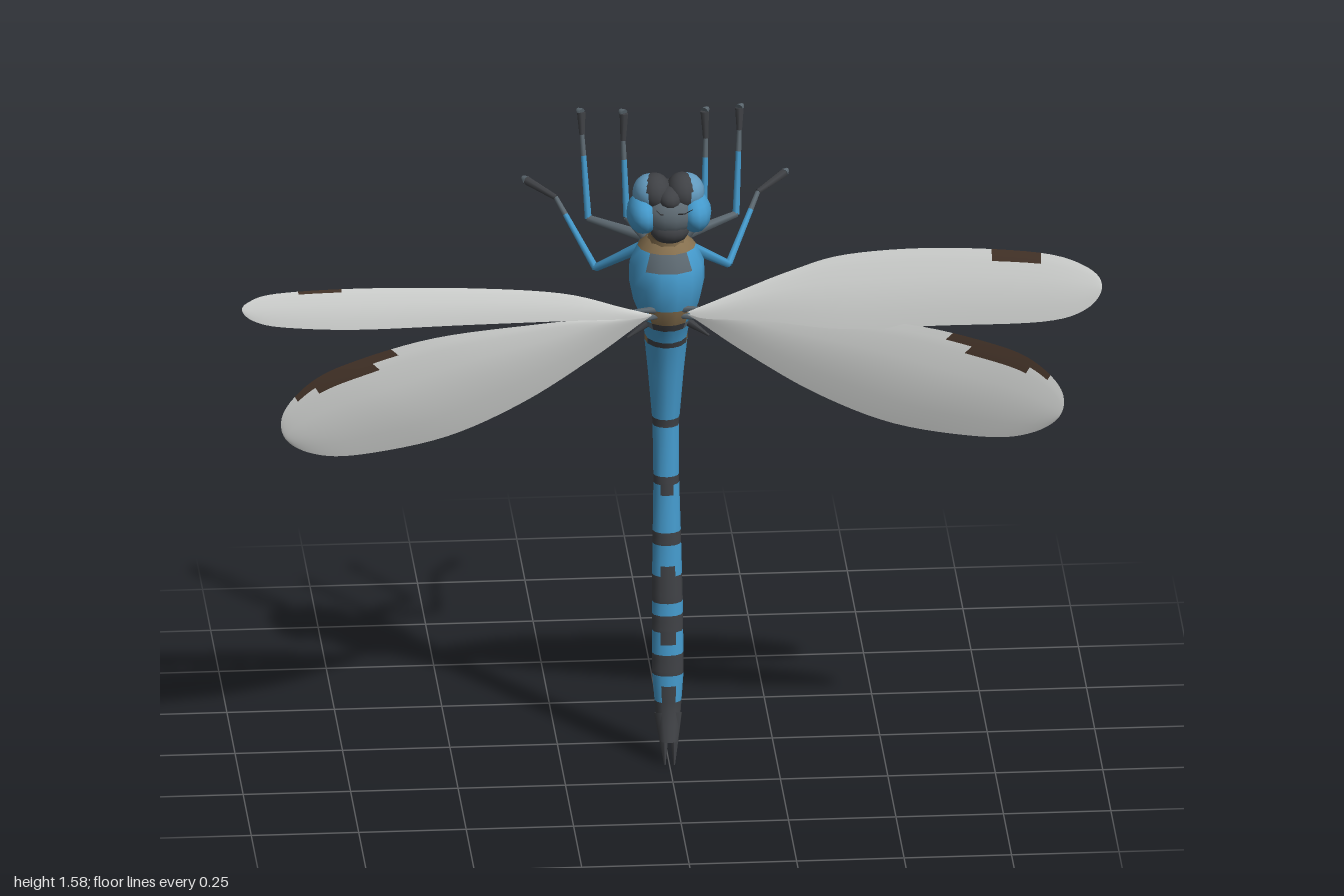
import * as THREE from 'three';

const V = (x, y, z) => new THREE.Vector3(x, y, z);
const paint = (name, color, side = THREE.FrontSide) => {
  const m = new THREE.MeshStandardMaterial({ color, side });
  m.name = name;
  return m;
};

export function createModel() {
  const root = new THREE.Group();
  root.name = 'dragonfly';
  const blue = paint('body blue', 0x4499cb);
  const dark = paint('dark grey', 0x3f4145);
  const tan = paint('tan', 0x86704f);
  const slate = paint('slate', 0x5c6870);
  const paleBlue = paint('pale blue', 0x6299bd);
  const membrane = paint('wing grey', 0xd4d6d4, THREE.DoubleSide);
  const brown = paint('wing mark brown', 0x453429, THREE.DoubleSide);

  const add = (name, geometry, material, parent = root) => {
    const mesh = new THREE.Mesh(geometry, material);
    mesh.name = name;
    parent.add(mesh);
    return mesh;
  };

  // Indexed geometry with one group per material
  function build(pos, lists) {
    const g = new THREE.BufferGeometry();
    g.setAttribute('position', new THREE.Float32BufferAttribute(pos, 3));
    g.setIndex(lists.flat());
    let start = 0;
    lists.forEach((l, i) => { g.addGroup(start, l.length, i); start += l.length; });
    g.computeVertexNormals();
    return g;
  }

  // Loft of elliptical rings [y, centre z, x radius, z radius], bottom to top;
  // pick(y, f) gives the material index of each panel, f = 1 at the front, -1 at the back.
  function loft(rings, sides, count, pick) {
    const pos = [], lists = Array.from({ length: count }, () => []);
    for (const [y, zc, rx, rz] of rings)
      for (let j = 0; j < sides; j++) {
        const a = (j / sides) * Math.PI * 2;
        pos.push(Math.cos(a) * rx, y, zc + Math.sin(a) * rz);
      }
    for (let i = 0; i < rings.length - 1; i++)
      for (let j = 0; j < sides; j++) {
        const k = (j + 1) % sides;
        const a = i * sides + j, b = i * sides + k, c = a + sides, d = b + sides;
        const y = (rings[i][0] + rings[i + 1][0]) / 2;
        lists[pick(y, Math.sin(((j + 0.5) / sides) * Math.PI * 2))].push(a, c, b, b, c, d);
      }
    return build(pos, lists);
  }

  // Tapered rod between two points
  function rod(name, a, b, ra, rb, material, parent = root) {
    const d = b.clone().sub(a);
    const mesh = add(name, new THREE.CylinderGeometry(rb, ra, d.length(), 6), material, parent);
    mesh.position.copy(a).addScaledVector(d, 0.5);
    mesh.quaternion.setFromUnitVectors(V(0, 1, 0), d.normalize());
  }

  function ball(name, c, r, material) {
    const mesh = add(name, new THREE.SphereGeometry(1, 14, 10), material);
    mesh.position.set(...c);
    mesh.scale.set(...r);
  }

  // Abdomen: interpolated rings with dark bands [low, high, least f]
  const spine = [
    [0.06, 0.13, 0.022, 0.018], [0.13, 0.1, 0.03, 0.026], [0.22, 0.092, 0.037, 0.027],
    [0.4, 0.075, 0.036, 0.027], [0.55, 0.06, 0.033, 0.026], [0.68, 0.045, 0.03, 0.026],
    [0.82, 0.03, 0.031, 0.03], [0.95, 0.03, 0.042, 0.05], [1.03, 0.034, 0.05, 0.064],
  ];
  const ringAt = y => {
    let i = 0;
    while (i < spine.length - 2 && spine[i + 1][0] < y) i++;
    const t = (y - spine[i][0]) / (spine[i + 1][0] - spine[i][0]);
    return spine[i].map((v, k) => v + (spine[i + 1][k] - v) * t);
  };
  const bands = [
    [0.06, 0.1, -2], [0.1, 0.15, -0.3], [0.15, 0.19, 0.8], [0.215, 0.265, 0.1], [0.225, 0.25, -2],
    [0.29, 0.32, 0.9], [0.32, 0.36, 0.1], [0.325, 0.345, -2], [0.39, 0.455, 0.2], [0.4, 0.44, -0.6],
    [0.41, 0.425, -2], [0.455, 0.48, 0.9], [0.53, 0.56, 0], [0.535, 0.55, -2], [0.65, 0.675, 0.9],
    [0.675, 0.695, -0.6], [0.815, 0.835, -0.4],
  ];
  const levels = [...new Set([...bands.flatMap(b => [b[0], b[1]]), ...spine.map(s => s[0])])].sort((a, b) => a - b);
  add('abdomen', loft(levels.map(ringAt), 12, 2, (y, f) =>
    bands.some(([lo, hi, least]) => y > lo && y < hi && f > least) ? 1 : 0), [blue, dark]);

  // Forked tail end
  for (const s of [-1, 1])
    rod('tailPoint', V(s * 0.014, 0.12, 0.106), V(s * 0.011, 0.005, 0.147), 0.02, 0.002, dark);

  // Thorax: banded waist, patch between the wing roots, tan collar
  add('thorax', loft([
    [1.03, 0.034, 0.05, 0.064], [1.045, 0.037, 0.05, 0.068], [1.08, 0.043, 0.055, 0.076],
    [1.1, 0.049, 0.063, 0.083], [1.14, 0.055, 0.078, 0.092], [1.19, 0.058, 0.088, 0.098],
    [1.235, 0.057, 0.087, 0.09], [1.275, 0.055, 0.068, 0.07], [1.295, 0.055, 0.045, 0.05],
  ], 14, 4, (y, f) => {
    if (y < 1.045) return f > 0.4 ? 1 : f > -0.5 ? 2 : 0;
    if (y > 1.08 && y < 1.1) return f > 0.7 ? 1 : f > -0.3 ? 3 : 0;
    if (y > 1.1 && y < 1.14) return f > 0.9 ? 2 : 0;
    if (y > 1.235 && y < 1.275) return f > 0.9 ? 3 : 0;
    return y > 1.275 ? 2 : 0;
  }), [blue, dark, tan, slate]);
  add('neck', loft([
    [1.27, 0.055, 0.05, 0.055], [1.31, 0.062, 0.042, 0.05], [1.34, 0.075, 0.04, 0.045],
  ], 10, 2, y => (y > 1.31 ? 1 : 0)), [tan, dark]);

  // Head, eyes and feelers
  ball('headBack', [0, 1.385, 0.066], [0.085, 0.055, 0.048], dark);
  ball('face', [0, 1.385, 0.135], [0.062, 0.052, 0.055], slate);
  ball('mouth', [0, 1.348, 0.15], [0.045, 0.03, 0.036], dark);
  ball('jaw', [0, 1.334, 0.105], [0.05, 0.032, 0.045], tan);
  ball('brow', [0, 1.425, 0.14], [0.03, 0.028, 0.042], dark);
  for (const s of [-1, 1]) {
    ball('eye', [s * 0.06, 1.383, 0.122], [0.039, 0.047, 0.064], blue);
    ball('eyeTop', [s * 0.042, 1.43, 0.112], [0.042, 0.043, 0.05], paleBlue);
    ball('eyeCap', [s * 0.032, 1.432, 0.116], [0.039, 0.044, 0.052], dark);
    rod('feeler', V(s * 0.018, 1.4, 0.18), V(s * 0.028, 1.425, 0.24), 0.002, 0.0012, dark);
    rod('feeler', V(s * 0.028, 1.425, 0.24), V(s * 0.042, 1.46, 0.3), 0.0012, 0.0008, dark);
  }

  // Three pairs of legs: hip, knee, ankle, toe, and colour of the thigh
  const legs = {
    frontLeg: [[[0.045, 1.28, 0.02], [0.09, 1.33, 0.015], [0.096, 1.51, -0.013], [0.094, 1.575, -0.018]], slate],
    middleLeg: [[[0.05, 1.27, -0.01], [0.172, 1.287, -0.085], [0.183, 1.48, -0.128], [0.184, 1.53, -0.14]], slate],
    hindLeg: [[[0.05, 1.24, -0.02], [0.155, 1.16, -0.09], [0.235, 1.275, -0.245], [0.3, 1.3, -0.295]], blue],
  };
  for (const [name, [path, thigh]] of Object.entries(legs))
    for (const s of [-1, 1]) {
      const leg = new THREE.Group();
      leg.name = name;
      root.add(leg);
      const [hip, knee, ankle, toe] = path.map(([x, y, z]) => V(s * x, y, z));
      const shin = knee.clone().lerp(ankle, 0.75);
      rod('thigh', hip, knee, 0.014, 0.009, thigh, leg);
      rod('shin', knee, shin, 0.009, 0.007, blue, leg);
      rod('lowerShin', shin, ankle, 0.007, 0.006, slate, leg);
      rod('foot', ankle, toe, 0.007, 0.011, dark, leg);
      rod('claw', toe, toe.clone().add(V(s * 0.008, 0.004, -0.01)), 0.011, 0.005, slate, leg);
    }

  // Wings: cambered sheet between the leading and trailing halves of a smooth outline,
  // on the plane z = a + b|x| + c(y - y0); marked(i, t) picks the dark cells at the edge.
  const chord = [0, 0.075, 0.15, 0.35, 0.55, 0.78, 1];
  function wing(name, s, outline, [a, b, c, y0], marked) {
    const curve = new THREE.SplineCurve([...outline, outline[0]].map(([x, y]) => new THREE.Vector2(s * x, y)));
    const edge = curve.getPoints(84), n = chord.length;
    const pos = [], lists = [[], []];
    for (let i = 0; i <= 42; i++)
      for (const t of chord) {
        const lead = edge[i], trail = edge[84 - i];
        const p = lead.clone().lerp(trail, t);
        const bulge = 0.2 * t * (1 - t) * lead.distanceTo(trail);
        pos.push(p.x, p.y, a + b * Math.abs(p.x) + c * (p.y - y0) + bulge);
      }
    for (let i = 0; i < 42; i++)
      for (let j = 0; j < n - 1; j++) {
        const k = i * n + j;
        lists[marked(i, chord[j]) ? 1 : 0].push(k, k + 1, k + n, k + 1, k + n + 1, k + n);
      }
    add(name, build(pos, lists), [membrane, brown]);
  }
  const hind = [[0.04, 1.135], [0.18, 1.138], [0.31, 1.135], [0.55, 1.12], [0.74, 1.075], [0.84, 1.03], [0.905, 0.955],
    [0.9, 0.885], [0.83, 0.84], [0.72, 0.83], [0.52, 0.86], [0.34, 0.935], [0.18, 1.035], [0.07, 1.115]];
  for (const s of [-1, 1])
    wing(s > 0 ? 'leftHindWing' : 'rightHindWing', s, hind, [0.13, 0.125, 0.1, 1],
      (i, t) => i >= 21 && i < 33 && t < (i > 22 && i < 30 ? 0.14 : 0.07));
  wing('leftForeWing', 1, [[0.04, 1.145], [0.14, 1.185], [0.28, 1.24], [0.41, 1.278], [0.62, 1.294], [0.86, 1.284],
    [0.97, 1.25], [1, 1.205], [0.96, 1.155], [0.86, 1.127], [0.62, 1.117], [0.4, 1.108], [0.22, 1.125], [0.08, 1.13]],
  [0.14, 0.09, -0.25, 1.2], (i, t) => i >= 27 && i < 30 && t < 0.14);
  wing('rightForeWing', -1, [[0.04, 1.14], [0.11, 1.16], [0.25, 1.2], [0.47, 1.225], [0.73, 1.24], [0.92, 1.24],
    [0.985, 1.225], [1, 1.205], [0.97, 1.18], [0.9, 1.163], [0.73, 1.148], [0.47, 1.143], [0.25, 1.138], [0.08, 1.133]],
  [0.14, 0.09, -0.3, 1.18], (i, t) => i >= 25 && i < 28 && t < 0.07);

  // Stubs where the wings join the thorax
  for (const s of [-1, 1]) {
    rod('wingRoot', V(s * 0.02, 1.14, 0.125), V(s * 0.09, 1.148, 0.15), 0.01, 0.003, slate);
    rod('wingRoot', V(s * 0.02, 1.125, 0.122), V(s * 0.09, 1.115, 0.138), 0.009, 0.003, slate);
    rod('wingStrut', V(s * 0.04, 1.095, 0.08), V(s * 0.095, 1.06, 0.098), 0.012, 0.003, dark);
  }
  return root;
}
